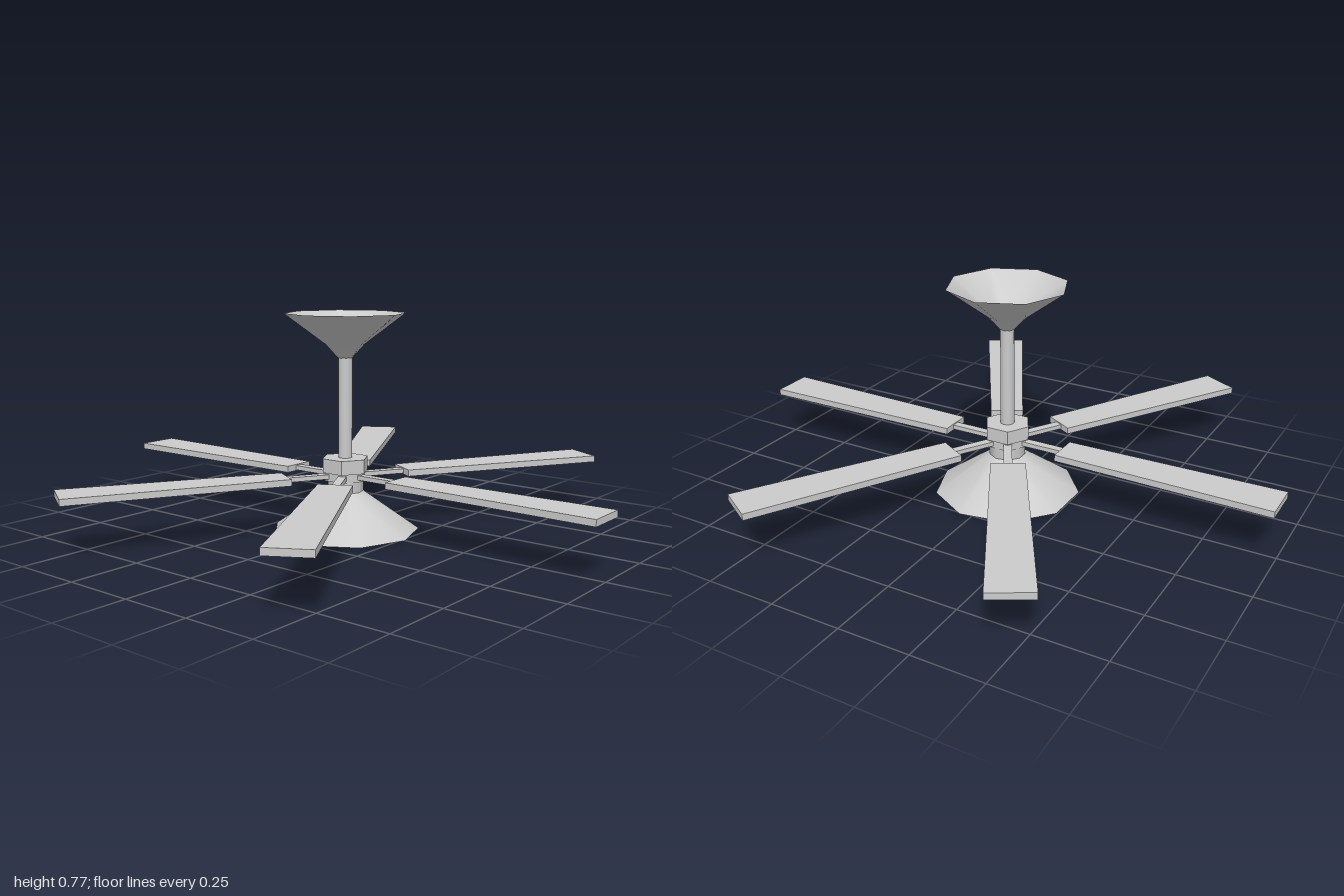
import * as THREE from 'three';

const smooth = new THREE.MeshStandardMaterial({ color: 0xcccccc, side: THREE.DoubleSide });
const flat = new THREE.MeshStandardMaterial({ color: 0xcccccc, flatShading: true });

function add(parent, name, geometry, material) {
  const mesh = new THREE.Mesh(geometry, material);
  mesh.name = name;
  parent.add(mesh);
  return mesh;
}

// Open turned shell with a vertex on +x
function shell(points, sides) {
  const profile = points.map(([r, y]) => new THREE.Vector2(r, y));
  return new THREE.LatheGeometry(profile, sides, Math.PI / 2);
}

// Upright prism between two heights with a vertex on +x
function prism(radius, y0, y1, sides) {
  return new THREE.CylinderGeometry(radius, radius, y1 - y0, sides)
    .rotateY(Math.PI / 2)
    .translate(0, (y0 + y1) / 2, 0);
}

// Flat blade along +x, widening towards the tip
function bladeGeometry() {
  const r0 = 0.22, r1 = 0.997, y0 = 0.185, y1 = 0.208;
  const shape = new THREE.Shape([
    new THREE.Vector2(r0, -0.06),
    new THREE.Vector2(r1, -0.075),
    new THREE.Vector2(r1, 0.075),
    new THREE.Vector2(r0, 0.06),
  ]);
  return new THREE.ExtrudeGeometry(shape, { depth: y1 - y0, bevelEnabled: false })
    .rotateX(-Math.PI / 2)
    .translate(0, y0, 0);
}

export function createModel() {
  const fan = new THREE.Group();
  fan.name = 'ceilingFan';

  // Ceiling funnel and hanging rod
  add(fan, 'canopy', shell([[0.022, 0.61], [0.07, 0.662], [0.215, 0.77]], 8), smooth);
  add(fan, 'rod', prism(0.025, 0.25, 0.62, 12), smooth);

  // Six-sided motor housing
  add(fan, 'motorHousing', prism(0.085, 0.21, 0.26, 6), flat);
  add(fan, 'bladeHub', prism(0.076, 0.18, 0.21, 6), flat);

  // Lamp shade with its neck, open below
  add(fan, 'shadeNeck', prism(0.065, 0.14, 0.185, 9), smooth);
  add(fan, 'lampShade', shell([[0.263, 0], [0.065, 0.14]], 9), smooth);

  // Six blades, each on its arm
  const blade = bladeGeometry();
  const arm = new THREE.BoxGeometry(0.2, 0.016, 0.03).translate(0.15, 0.196, 0);
  for (let i = 0; i < 6; i++) {
    const unit = new THREE.Group();
    unit.name = 'bladeUnit';
    unit.rotation.y = (i * Math.PI) / 3;
    add(unit, 'blade', blade, flat);
    add(unit, 'bladeArm', arm, flat);
    fan.add(unit);
  }
  return fan;
}
